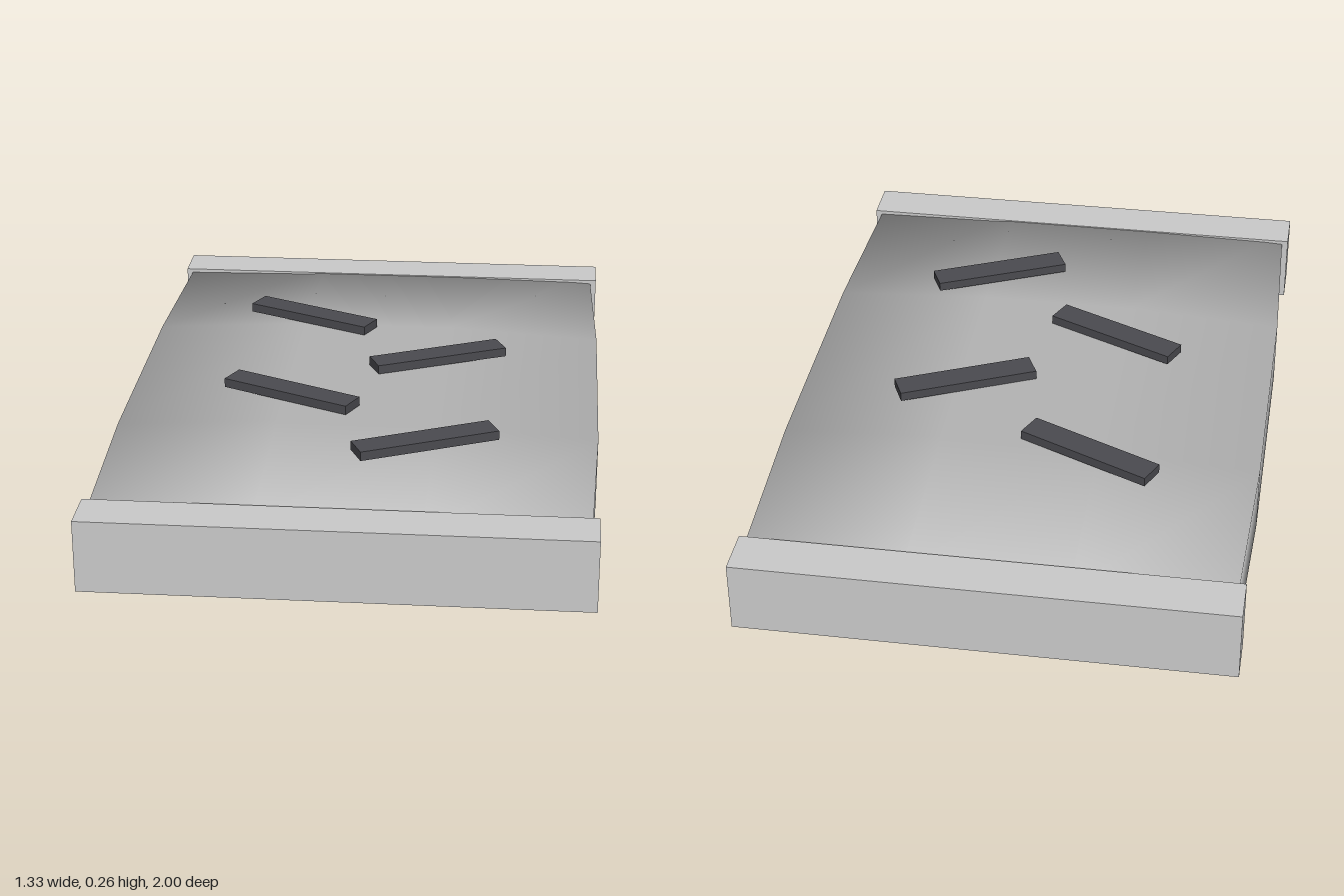
import * as THREE from 'three';
import { mergeVertices } from 'three/addons/utils/BufferGeometryUtils.js';

const MID_Y = 0.118;

function addBox(parent, name, size, pos, color, turn = 0) {
  const mesh = new THREE.Mesh(new THREE.BoxGeometry(...size), new THREE.MeshStandardMaterial({ color }));
  mesh.name = name;
  mesh.position.set(...pos);
  mesh.rotation.y = turn;
  parent.add(mesh);
}

// Puffed pouch: a 3 x 1 x 3 grid box, swollen in the middle, with soft rounded shading at its rims
function pouchGeometry() {
  let geo = new THREE.BoxGeometry(3, 2, 3, 3, 1, 3);
  geo.deleteAttribute('normal');
  geo.deleteAttribute('uv');
  geo = mergeVertices(geo);
  const p = geo.attributes.position;
  const normals = [];
  for (let i = 0; i < p.count; i++) {
    const [x, y, z] = [p.getX(i), p.getY(i), p.getZ(i)];
    const [sx, sy, sz] = [x, y, z].map(Math.sign);
    const side = Math.abs(x) > 1, end = Math.abs(z) > 1;
    const halfWidth = side ? (end ? 0.647 : 0.666) : 0.22;
    const halfHeight = side ? (end ? 0.088 : 0.092) : (end ? 0.094 : 0.118);
    p.setXYZ(i, sx * halfWidth, MID_Y + sy * halfHeight, sz * (end ? 0.94 : 0.37));
    // Each vertex normal is the even average of the sides it touches
    normals.push(...new THREE.Vector3(side ? sx : 0, sy, end ? sz : 0).normalize().toArray());
  }
  geo.setAttribute('normal', new THREE.Float32BufferAttribute(normals, 3));
  return geo;
}

export function createModel() {
  const model = new THREE.Group();
  model.name = 'sealedPouch';

  const pouch = new THREE.Mesh(pouchGeometry(), new THREE.MeshStandardMaterial({ color: 0xb4b4b4 }));
  pouch.name = 'pouch';
  model.add(pouch);

  // Sealed end bars
  for (const s of [1, -1]) {
    addBox(model, s > 0 ? 'frontSeal' : 'backSeal', [1.334, 0.2, 0.132], [0, 0.118, s * 0.934], 0xcccccc);
  }

  // Slanted dark strips, alternating left and right along the top
  for (let i = 0; i < 4; i++) {
    const s = i % 2 ? 1 : -1;
    addBox(model, 'strip' + (i + 1), [0.4, 0.026, 0.077], [s * 0.199, 0.251, -0.4 + i * 0.3], 0x4b4b50, s * 0.436);
  }
  return model;
}
